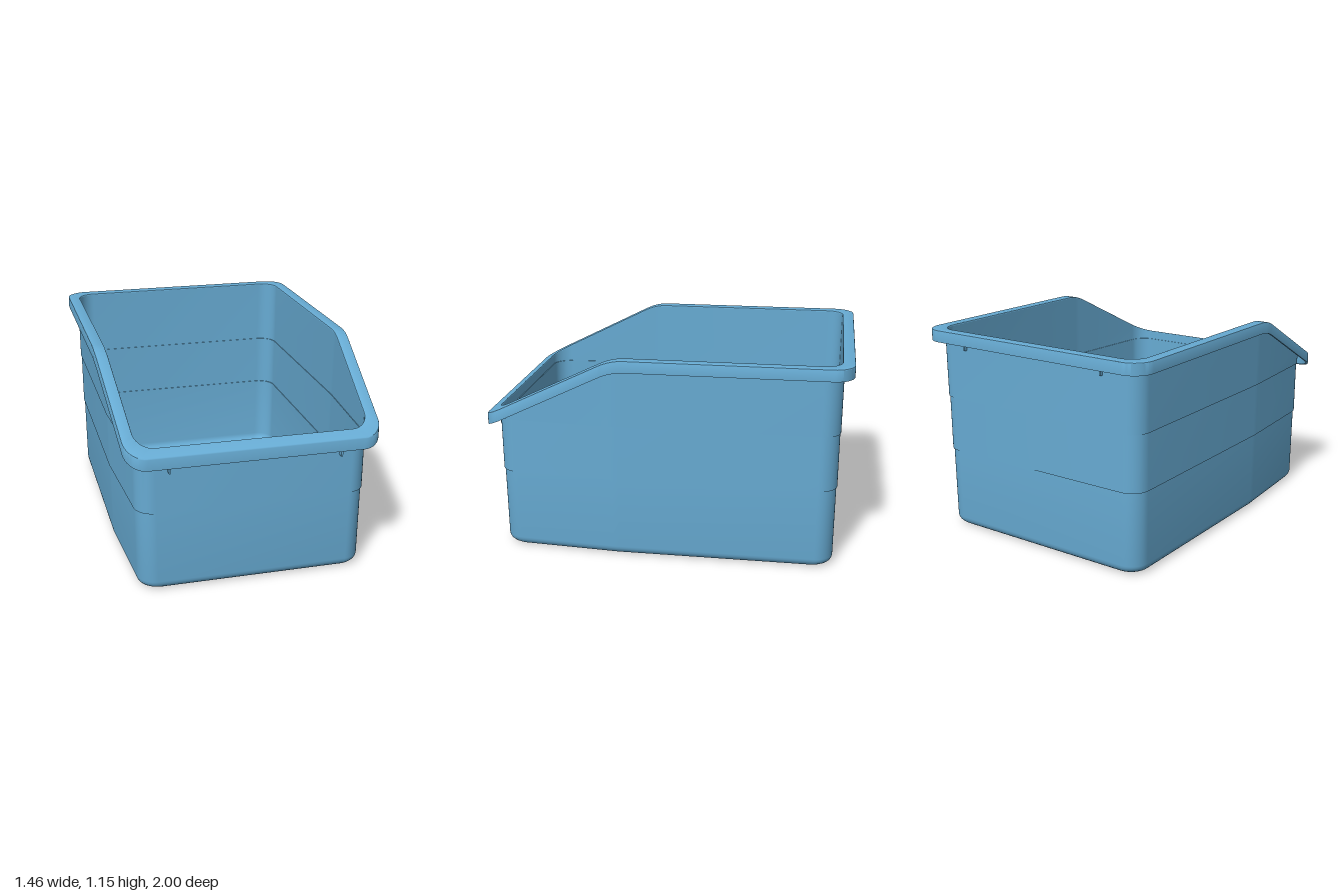
import * as THREE from 'three';
import { toCreasedNormals } from 'three/addons/utils/BufferGeometryUtils.js';

const HALF_W = 0.665, HALF_D = 0.937, BEND = 0.27, SOFT = 0.07, SLOPE = 0.493;

// Height of the rim: level at the back, softly bending into a slope to the front
function rimY(z) {
  const d = z - BEND;
  if (d <= -SOFT) return 1.15;
  if (d >= SOFT) return 1.15 - SLOPE * d;
  return 1.15 - SLOPE * (d + SOFT) ** 2 / (4 * SOFT);
}

// Rounded plan outline grown by off, narrowing towards the front
function outline(off) {
  const w = HALF_W + off, d = HALF_D + off, r = 0.1 + 0.2 * off, pts = [];
  const add = (x, z) => pts.push([x * (1 - Math.max(0, z - BEND) * 0.067 / w), z]);
  const corner = (sx, sz, start) => {
    for (let i = 0; i <= 10; i++) {
      const a = start + (i / 10) * Math.PI / 2;
      add(sx * (w - r) + r * Math.cos(a), sz * (d - r) + r * Math.sin(a));
    }
  };
  const side = (sx) => {
    for (let i = 0; i <= 8; i++) add(sx * w, BEND - sx * SOFT + sx * i * SOFT / 4);
  };
  corner(1, -1, -Math.PI / 2);
  side(1);
  corner(1, 1, 0);
  corner(-1, 1, Math.PI / 2);
  side(-1);
  corner(-1, -1, Math.PI);
  return pts;
}

// Loft a wall section around the outline; each row is { off, y, rim, center }
function loftSection(rows) {
  const pos = [], index = [];
  let n = 0;
  for (const { off = 0, y, rim, center } of rows) {
    const pts = outline(off);
    n = pts.length;
    for (const [x, z] of pts) {
      if (center) pos.push(0, y, 0);
      else pos.push(x, rim !== undefined ? rimY(z) + rim : y, z);
    }
  }
  for (let j = 0; j < rows.length - 1; j++) {
    for (let i = 0; i < n; i++) {
      const k = (i + 1) % n, a = j * n + i, b = a + n, c = j * n + k, d = c + n;
      if (!rows[j].center) index.push(a, b, c);
      if (!rows[j + 1].center) index.push(c, b, d);
    }
  }
  const geo = new THREE.BufferGeometry();
  geo.setAttribute('position', new THREE.Float32BufferAttribute(pos, 3));
  geo.setIndex(index);
  return toCreasedNormals(geo, 0.5);
}

// Quarter round between the floor and a wall
function fillet(off, y, r) {
  return Array.from({ length: 7 }, (_, i) => {
    const a = (i / 6) * Math.PI / 2;
    return { off: off - r + r * Math.sin(a), y: y + r - r * Math.cos(a) };
  });
}

export function createModel() {
  const group = new THREE.Group();
  const plastic = new THREE.MeshStandardMaterial({ color: 0x67abd3 });
  plastic.name = 'blue plastic';
  const addMesh = (name, geo) => {
    const mesh = new THREE.Mesh(geo, plastic);
    mesh.name = name;
    group.add(mesh);
    return mesh;
  };

  // Outer wall with two shallow steps
  addMesh('outerShell', loftSection([
    { y: 0, center: true },
    ...fillet(-0.006, 0, 0.05),
    { off: -0.003, y: 0.455 }, { off: 0.002, y: 0.455 },
    { off: 0.003, y: 0.765 }, { off: 0.007, y: 0.765 },
    { off: 0.009, rim: -0.014 },
  ]));

  // Overhanging rim, hollow underneath
  addMesh('rim', loftSection([
    { off: 0.009, rim: -0.014 }, { off: 0.052, rim: -0.014 },
    { off: 0.052, rim: -0.065 }, { off: 0.063, rim: -0.065 },
    { off: 0.063, rim: -0.005 }, { off: 0.0615, rim: -0.0015 }, { off: 0.058, rim: 0 },
    { off: 0.004, rim: 0 }, { off: -0.001, rim: -0.002 }, { off: -0.003, rim: -0.007 },
  ]));

  // Inner wall and floor
  addMesh('innerShell', loftSection([
    { off: -0.003, rim: -0.007 },
    { off: -0.005, y: 0.765 }, { off: -0.009, y: 0.765 },
    { off: -0.01, y: 0.455 }, { off: -0.014, y: 0.455 },
    ...fillet(-0.018, 0.012, 0.05).reverse(),
    { y: 0.012, center: true },
  ]));

  // Small ribs under the rim at front and back
  for (const x of [-0.46, 0.46]) {
    addMesh('frontRib', new THREE.BoxGeometry(0.01, 0.11, 0.034)).position.set(x, 0.74, 0.954);
    addMesh('backRib', new THREE.BoxGeometry(0.01, 0.09, 0.024)).position.set(x, 1.095, -0.951);
  }
  return group;
}
